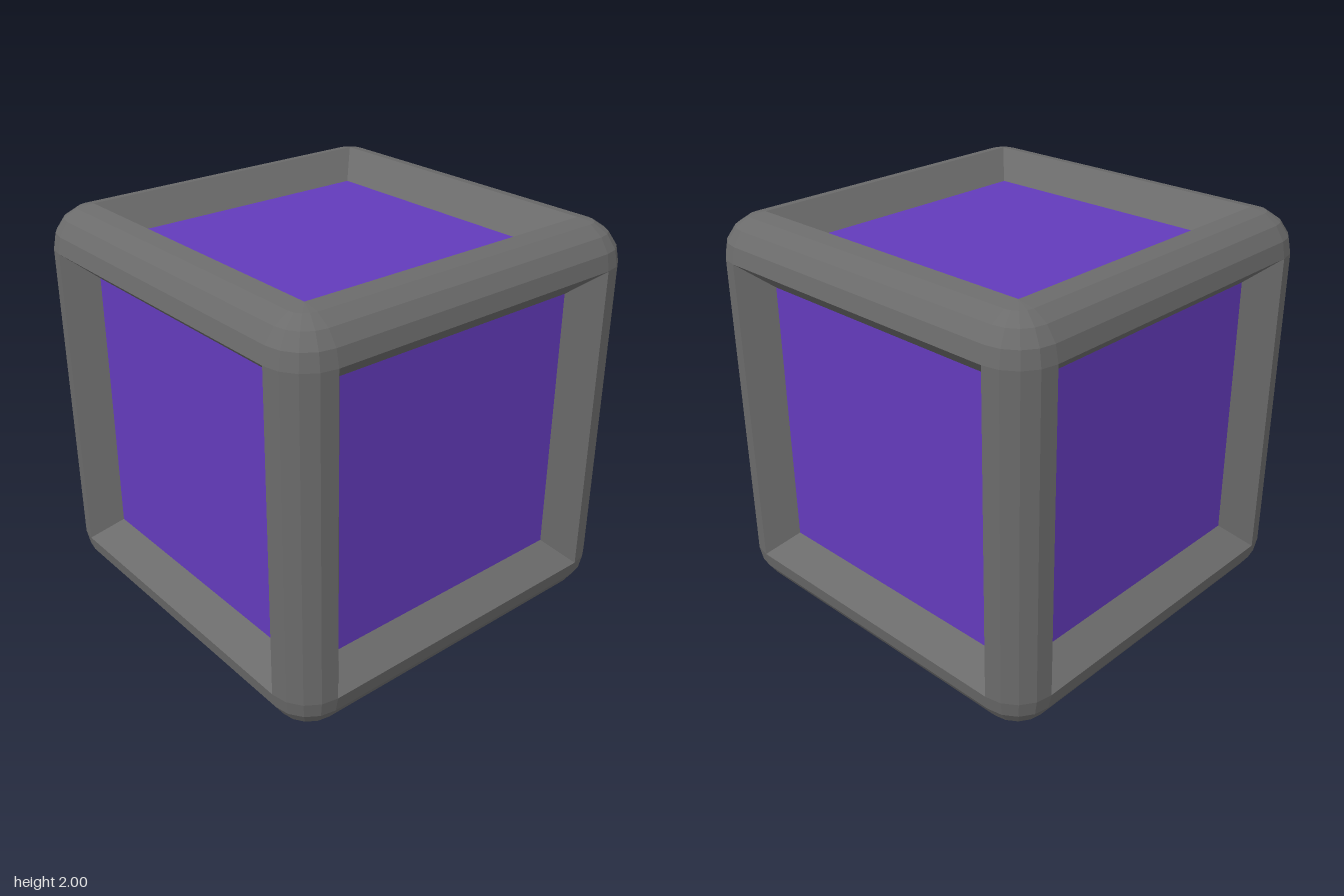
import * as THREE from 'three';
import { mergeGeometries } from 'three/addons/utils/BufferGeometryUtils.js';

const HALF = 1;          // half size of the cube
const OPEN = 0.795;      // half width of each recess at the rim
const PANEL = 0.675;     // half width of each panel
const DEPTH = 0.14;      // depth of each recess
const R = HALF - OPEN;   // radius of the rounded edges
const STEPS = 4;         // facets across each rounded edge
const Q = Math.PI / 2;

function faceted(geometry) {
  const g = geometry.toNonIndexed();
  g.computeVertexNormals();
  return g;
}

// Quarter-round bars along the twelve edges
function edgeBars() {
  const bars = [];
  for (const axis of ['x', 'y', 'z']) {
    for (let k = 0; k < 4; k++) {
      const mid = (k + 0.5) * Q;
      const g = new THREE.CylinderGeometry(R, R, 2 * OPEN, STEPS, 1, true, k * Q, Q);
      g.translate(Math.sign(Math.sin(mid)) * OPEN, 0, Math.sign(Math.cos(mid)) * OPEN);
      if (axis === 'x') g.rotateZ(Q);
      if (axis === 'z') g.rotateX(Q);
      bars.push(faceted(g));
    }
  }
  return mergeGeometries(bars);
}

// Sphere octants at the eight corners
function cornerCaps() {
  const caps = [];
  for (let k = 0; k < 4; k++) {
    const mid = (k + 0.5) * Q;
    for (const s of [1, -1]) {
      const g = new THREE.SphereGeometry(R, STEPS, STEPS, k * Q, Q, s > 0 ? 0 : Q, Q);
      g.translate(-Math.sign(Math.cos(mid)) * OPEN, s * OPEN, Math.sign(Math.sin(mid)) * OPEN);
      caps.push(faceted(g));
    }
  }
  return mergeGeometries(caps);
}

// Four sloping walls, turned to face into the recess
function recessWalls() {
  const g = new THREE.CylinderGeometry(OPEN * Math.SQRT2, PANEL * Math.SQRT2, DEPTH, 4, 1, true, Math.PI / 4);
  g.translate(0, HALF - DEPTH / 2, 0);
  const index = g.getIndex();
  for (let i = 0; i < index.count; i += 3) {
    const a = index.getX(i);
    index.setX(i, index.getX(i + 1));
    index.setX(i + 1, a);
  }
  return faceted(g);
}

export function createModel() {
  const model = new THREE.Group();
  model.name = 'panelledCube';
  const frameMaterial = new THREE.MeshStandardMaterial({ color: 0x6b6b6b, flatShading: true });
  const panelMaterial = new THREE.MeshStandardMaterial({ color: 0x633bbb, flatShading: true });

  const add = (parent, name, geometry, material) => {
    const mesh = new THREE.Mesh(geometry, material);
    mesh.name = name;
    parent.add(mesh);
  };

  // Rounded frame
  add(model, 'frameEdges', edgeBars(), frameMaterial);
  add(model, 'frameCorners', cornerCaps(), frameMaterial);

  // One recessed panel per side, built facing up and then turned
  const walls = recessWalls();
  const panel = new THREE.PlaneGeometry(2 * PANEL, 2 * PANEL);
  panel.rotateX(-Q);
  panel.translate(0, HALF - DEPTH, 0);
  const turns = {
    top: [0, 0], bottom: [2 * Q, 0], front: [Q, 0],
    back: [-Q, 0], left: [0, -Q], right: [0, Q],
  };
  for (const [side, [rx, rz]] of Object.entries(turns)) {
    const face = new THREE.Group();
    face.name = side + 'Face';
    face.rotation.set(rx, 0, rz);
    add(face, side + 'RecessWalls', walls, frameMaterial);
    add(face, side + 'Panel', panel, panelMaterial);
    model.add(face);
  }

  // Stand the cube on the ground
  for (const part of model.children) part.position.y = HALF;
  return model;
}
